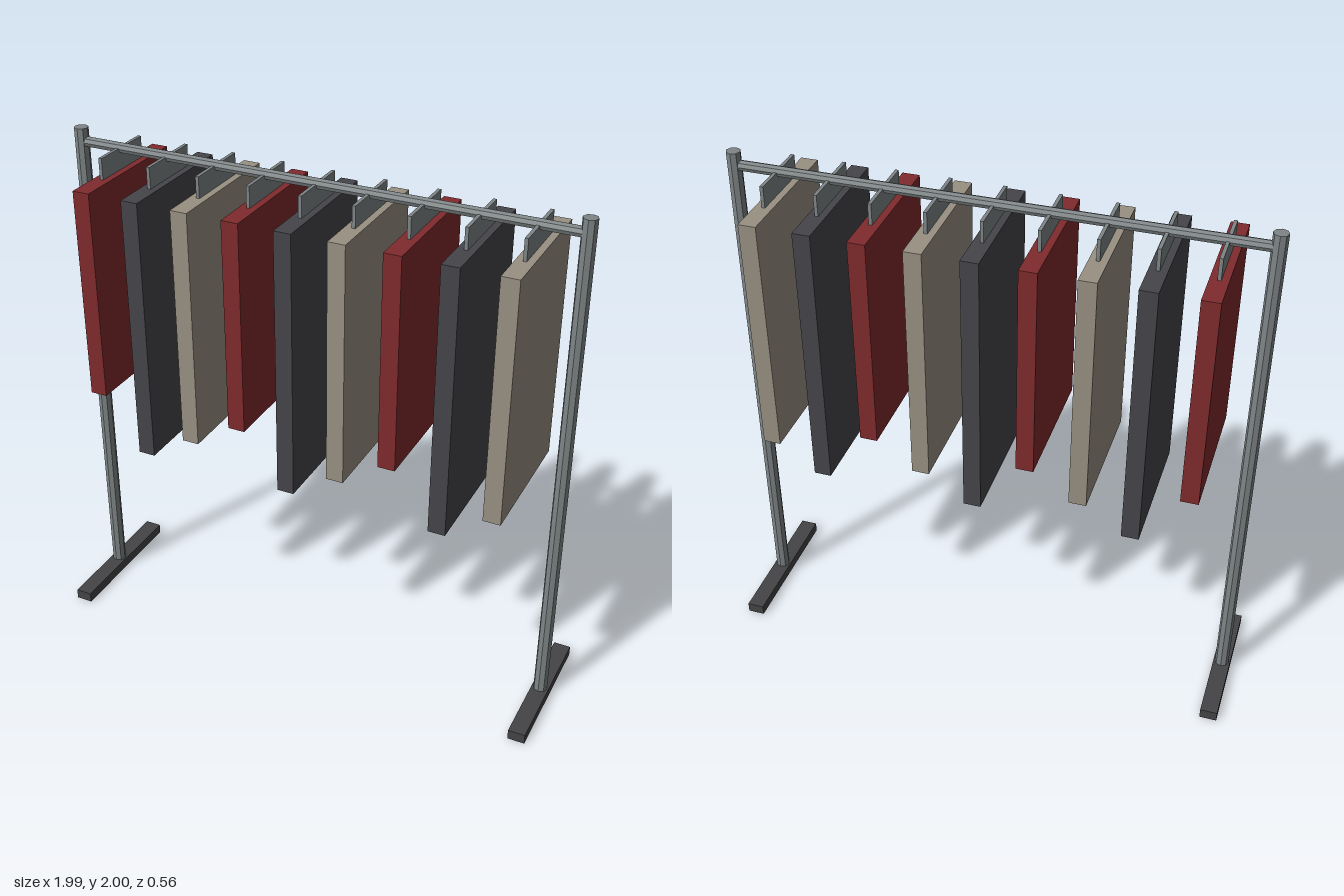
import * as THREE from 'three';

export function createModel() {
  const group = new THREE.Group();
  const material = (name, color, flatShading = false) => {
    const m = new THREE.MeshStandardMaterial({ color, flatShading });
    m.name = name;
    return m;
  };
  const steel = material('steel', 0x7f8587, true);
  const darkMetal = material('darkMetal', 0x444446);
  const red = material('redCloth', 0x802a2d);
  const charcoal = material('charcoalCloth', 0x45454a);
  const beige = material('beigeCloth', 0x989082);

  const add = (name, geometry, mat, x, y, z = 0) => {
    const mesh = new THREE.Mesh(geometry, mat);
    mesh.name = name;
    mesh.position.set(x, y, z);
    group.add(mesh);
    return mesh;
  };

  // Upright posts on long floor feet
  for (const [side, s] of [['left', 1], ['right', -1]]) {
    add(side + 'Foot', new THREE.BoxGeometry(0.066, 0.04, 0.56), darkMetal, s * 0.964, 0.02);
    add(side + 'Post', new THREE.CylinderGeometry(0.027, 0.027, 2, 8), steel, s * 0.964, 1);
  }

  // Hanging rail
  const rail = add('rail', new THREE.CylinderGeometry(0.02, 0.02, 1.928, 8), steel, 0, 1.947);
  rail.rotation.z = Math.PI / 2;

  // Garments in a repeating sequence, each below a flat hanger plate
  const kinds = [
    { mat: red, bottom: 1.045 },
    { mat: charcoal, bottom: 0.83 },
    { mat: beige, bottom: 0.937 },
  ];
  const top = 1.868;
  for (let i = 0; i < 9; i++) {
    const x = -0.8 + i * 0.2;
    const { mat, bottom } = kinds[i % 3];
    const height = top - bottom;
    add('garment' + (i + 1), new THREE.BoxGeometry(0.066, height, 0.534), mat, x, bottom + height / 2);
    add('hanger' + (i + 1), new THREE.BoxGeometry(0.013, 0.082, 0.264), steel, x, 1.908);
  }
  return group;
}
